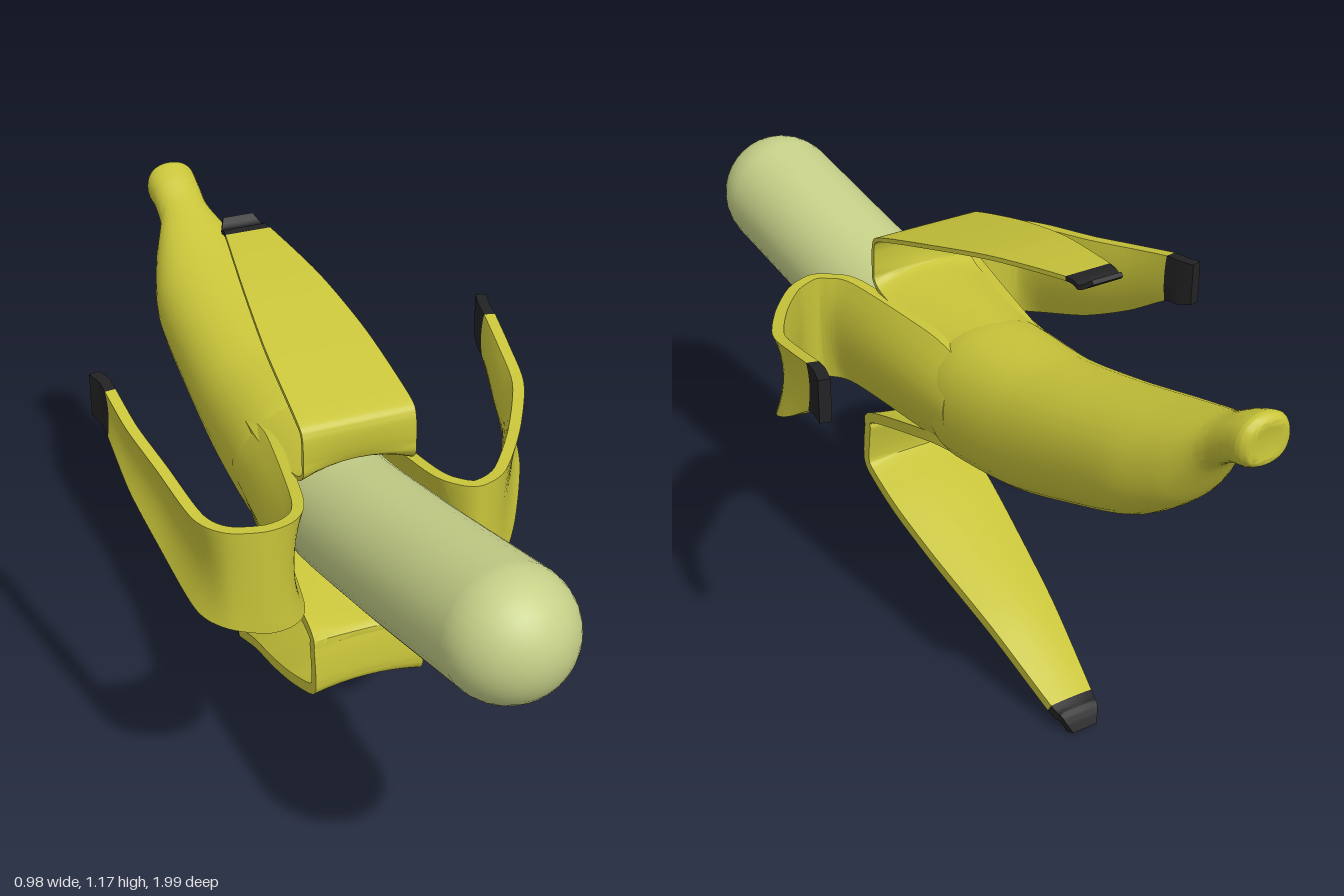
import * as THREE from 'three';
import { toCreasedNormals } from 'three/addons/utils/BufferGeometryUtils.js';

const V = (x, y, z) => new THREE.Vector3(x, y, z);
const paint = (color) => new THREE.MeshStandardMaterial({ color, side: THREE.DoubleSide });

// Skin over a list of equal rings, with both ends closed
function loft(rings, crease = 0.7) {
  const n = rings[0].length, pos = [], idx = [];
  rings.forEach((r) => r.forEach((p) => pos.push(p.x, p.y, p.z)));
  for (let i = 0; i < rings.length - 1; i++) {
    for (let j = 0; j < n; j++) {
      const a = i * n + j, b = i * n + (j + 1) % n;
      idx.push(a, b, b + n, a, b + n, a + n);
    }
  }
  [0, rings.length - 1].forEach((i) => {
    const c = V(0, 0, 0);
    rings[i].forEach((p) => c.addScaledVector(p, 1 / n));
    const k = pos.length / 3;
    pos.push(c.x, c.y, c.z);
    for (let j = 0; j < n; j++) {
      const a = i * n + j, b = i * n + (j + 1) % n;
      if (i === 0) idx.push(k, b, a); else idx.push(k, a, b);
    }
  });
  const g = new THREE.BufferGeometry();
  g.setAttribute('position', new THREE.Float32BufferAttribute(pos, 3));
  g.setIndex(idx);
  return toCreasedNormals(g, crease);
}

// Smooth interpolation through rows of numbers, u from 0 to 1
function track(rows) {
  const cols = [0, 1].map((h) => new THREE.CatmullRomCurve3(
    rows.map((r) => V(r[h * 3], r[h * 3 + 1], r[h * 3 + 2] ?? 0)), false, 'catmullrom', 0.4));
  return (u) => [...cols[0].getPoint(u).toArray(), ...cols[1].getPoint(u).toArray()];
}

// Folded peel strip: rows are [x, y, z, half width, sag]; the last two rows form the dark tip
function peel(name, rows, across, thick, skin, dark) {
  const at = track(rows), steps = (rows.length - 1) * 6, M = 8;
  const ring = (i) => {
    const u = i / steps, [x, y, z, hw, sag] = at(u);
    const p = at(Math.max(0, u - 0.004)), q = at(Math.min(1, u + 0.004));
    const t = V(q[0] - p[0], q[1] - p[1], q[2] - p[2]).normalize();
    const nrm = t.clone().cross(across).normalize();
    const point = (s, side) => V(x, y, z).addScaledVector(across, s * hw)
      .addScaledVector(nrm, -sag * s * s + side * thick / 2);
    const out = [];
    for (let j = 0; j <= M; j++) out.push(point(-1 + 2 * j / M, -1));
    for (let j = 0; j <= M; j++) out.push(point(1 - 2 * j / M, 1));
    return out;
  };
  const part = (from, to, mat, label) => {
    const rings = [];
    for (let i = from; i <= to; i++) rings.push(ring(i));
    const m = new THREE.Mesh(loft(rings), mat);
    m.name = label;
    return m;
  };
  const g = new THREE.Group();
  g.name = name;
  g.add(part(0, steps - 12, skin, name + 'Skin'), part(steps - 12, steps, dark, name + 'Tip'));
  return g;
}

export function createModel() {
  const model = new THREE.Group();
  model.name = 'peeledBanana';
  const skin = paint(0xc8c43a), dark = paint(0x222224), pale = paint(0xc6d088);
  const add = (name, geo, mat) => {
    const m = new THREE.Mesh(geo, mat);
    m.name = name;
    model.add(m);
  };

  // Fruit: gently bent rod with a round end
  const axis = new THREE.CatmullRomCurve3([
    V(-0.04, 0.735, -0.2), V(-0.033, 0.725, 0.1), V(-0.02, 0.765, 0.38), V(0, 0.86, 0.855)]);
  add('fruit', new THREE.TubeGeometry(axis, 24, 0.143, 32), pale);
  const end = new THREE.SphereGeometry(0.143, 32, 20);
  end.rotateX(Math.PI / 2);
  end.translate(0, 0.86, 0.855);
  add('fruitEnd', end, pale);

  // Closed peel and stem: [z, top, bottom, centre x, half width]
  const body = track([
    [-0.04, 0.885, 0.57, -0.035, 0.158], [-0.1, 0.895, 0.56, -0.035, 0.162],
    [-0.3, 0.905, 0.59, -0.038, 0.153], [-0.5, 0.945, 0.66, -0.04, 0.147],
    [-0.68, 0.993, 0.735, -0.04, 0.14], [-0.79, 1.03, 0.82, -0.038, 0.107],
    [-0.87, 1.06, 0.94, -0.037, 0.066], [-0.93, 1.095, 0.985, -0.037, 0.061],
    [-0.975, 1.113, 0.998, -0.037, 0.062], [-0.994, 1.1, 1.012, -0.037, 0.048],
    [-0.992, 1.075, 1.035, -0.037, 0.022]]);
  const rings = [];
  for (let i = 0; i <= 60; i++) {
    const [z, top, bottom, cx, hw] = body(i / 60), ring = [];
    for (let j = 0; j < 32; j++) {
      const a = j / 32 * Math.PI * 2, k = 1 + 0.02 * (1 - Math.cos(4 * a));
      ring.push(V(cx + hw * k * Math.cos(a), (top + bottom) / 2 - (top - bottom) / 2 * k * Math.sin(a), z));
    }
    rings.push(ring);
  }
  add('closedPeel', loft(rings, 1), skin);

  // Four strips folded outward and back
  model.add(peel('topPeel', [
    [-0.04, 0.885, -0.16, 0.12, 0.05], [-0.04, 0.89, 0, 0.13, 0.05], [-0.04, 0.905, 0.2, 0.13, 0.03],
    [-0.04, 0.925, 0.23, 0.13, 0.01], [-0.04, 0.99, 0.235, 0.13, 0], [-0.04, 1.015, 0.2, 0.13, 0],
    [-0.04, 1.075, 0, 0.118, 0], [-0.04, 1.125, -0.2, 0.092, 0], [-0.04, 1.158, -0.41, 0.055, 0],
    [-0.04, 1.153, -0.45, 0.05, 0], [-0.04, 1.172, -0.477, 0.036, 0]], V(1, 0, 0), 0.01, skin, dark));
  model.add(peel('bottomPeel', [
    [-0.04, 0.572, -0.12, 0.12, 0.05], [-0.04, 0.562, 0, 0.13, 0.04], [-0.04, 0.505, 0.25, 0.13, 0.02],
    [-0.04, 0.485, 0.275, 0.13, 0.01], [-0.04, 0.4, 0.285, 0.13, 0.01], [-0.04, 0.378, 0.265, 0.13, 0.015],
    [-0.04, 0.335, 0.15, 0.13, 0.02], [-0.04, 0.27, 0, 0.115, 0.02], [-0.04, 0.18, -0.2, 0.088, 0.015],
    [-0.04, 0.062, -0.4, 0.056, 0.005], [-0.04, 0.045, -0.43, 0.048, 0], [-0.04, 0.012, -0.449, 0.032, 0]],
    V(-1, 0, 0), 0.026, skin, dark));
  model.add(peel('rightPeel', [
    [-0.185, 0.735, -0.12, 0.11, 0.05], [-0.195, 0.735, 0, 0.13, 0.05], [-0.23, 0.745, 0.28, 0.132, 0.03],
    [-0.25, 0.748, 0.345, 0.13, 0.01], [-0.305, 0.753, 0.37, 0.127, 0], [-0.375, 0.763, 0.345, 0.119, 0.005],
    [-0.4, 0.772, 0.28, 0.114, 0.02], [-0.42, 0.815, 0.12, 0.1, 0.02], [-0.445, 0.865, -0.02, 0.08, 0.015],
    [-0.462, 0.918, -0.14, 0.057, 0.005], [-0.468, 0.925, -0.18, 0.055, 0], [-0.479, 0.932, -0.218, 0.05, 0]],
    V(0, 1, 0), 0.026, skin, dark));
  model.add(peel('leftPeel', [
    [0.115, 0.735, -0.12, 0.11, 0.05], [0.12, 0.735, 0, 0.13, 0.05], [0.135, 0.745, 0.28, 0.132, 0.03],
    [0.15, 0.745, 0.345, 0.13, 0.01], [0.18, 0.747, 0.37, 0.127, 0], [0.24, 0.753, 0.335, 0.122, 0.005],
    [0.32, 0.775, 0.22, 0.118, 0.015], [0.395, 0.82, 0.08, 0.1, 0.02], [0.425, 0.868, -0.04, 0.08, 0.015],
    [0.452, 0.918, -0.15, 0.057, 0.005], [0.463, 0.925, -0.19, 0.055, 0], [0.478, 0.932, -0.238, 0.05, 0]],
    V(0, -1, 0), 0.026, skin, dark));
  return model;
}
